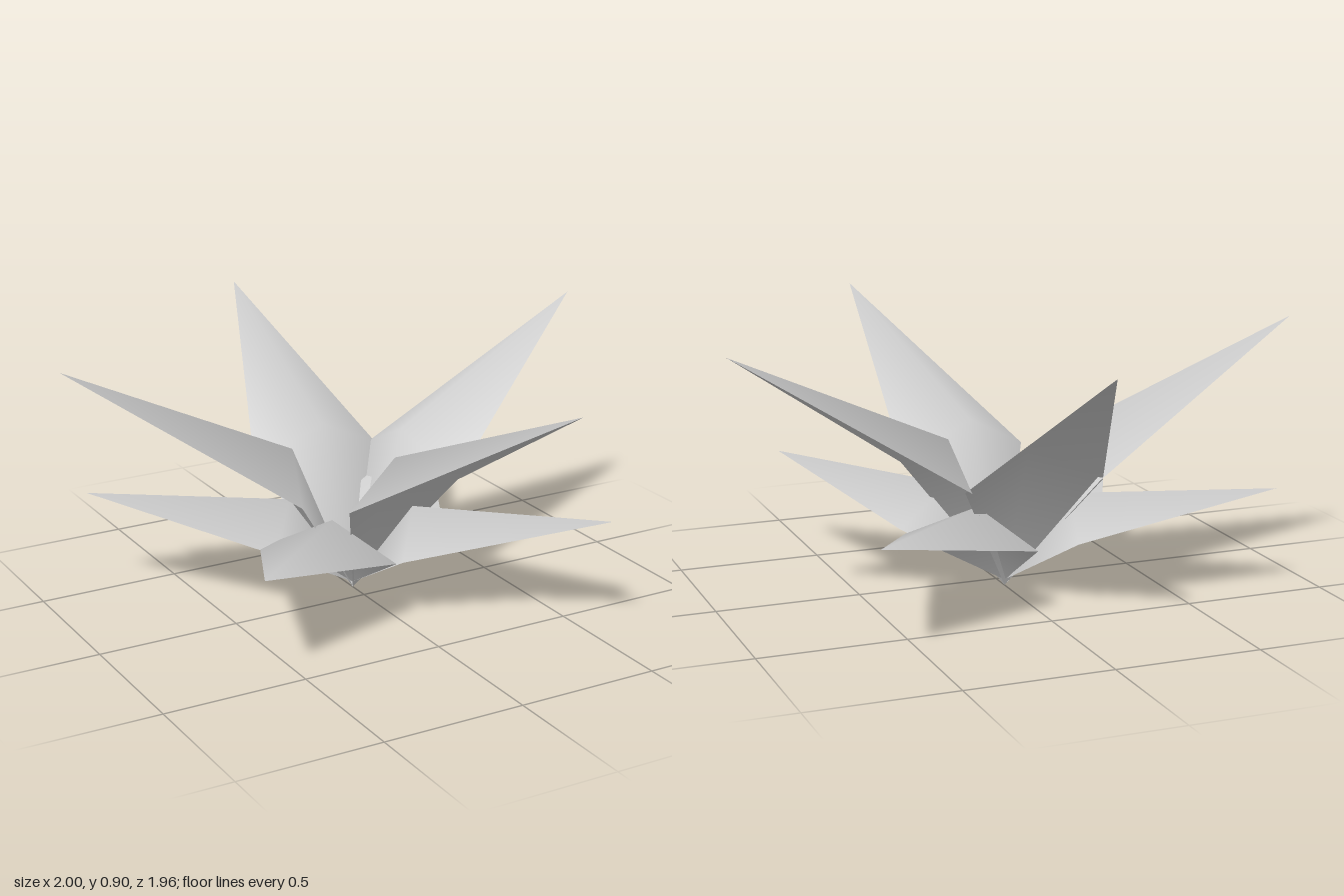
import * as THREE from 'three';

const leafMaterial = new THREE.MeshStandardMaterial({ color: 0xcccccc, side: THREE.DoubleSide });
leafMaterial.name = 'pale grey';

const BASE_Z = -0.08; // all leaves spring from this point on the z axis

// One kite-shaped leaf, folded along a raised midrib that peaks at its widest row.
function makeLeaf(name, tipX, tipZ, { baseY, tipY, sideY, ribY }) {
  const dir = new THREE.Vector2(tipX, tipZ - BASE_Z).normalize();
  const at = (along, across, y) => [
    dir.x * along - dir.y * across, y, BASE_Z + dir.y * along + dir.x * across,
  ];
  const points = [
    [0, baseY, BASE_Z],
    at(0.27, -0.245, sideY),
    at(0.22, 0, ribY),
    at(0.27, 0.245, sideY),
    [tipX, tipY, tipZ],
  ];
  const geometry = new THREE.BufferGeometry();
  geometry.setAttribute('position', new THREE.Float32BufferAttribute(points.flat(), 3));
  geometry.setIndex([0, 2, 1, 0, 3, 2, 1, 2, 4, 2, 3, 4]);
  geometry.computeVertexNormals();
  const leaf = new THREE.Mesh(geometry, leafMaterial);
  leaf.name = name;
  return leaf;
}

export function createModel() {
  const plant = new THREE.Group();
  plant.name = 'leafyPlant';

  // Steep upper ring
  const upper = { baseY: 0, tipY: 0.905, sideY: 0.42, ribY: 0.545 };
  [[0, -0.985], [-1, -0.235], [1, -0.245], [0.21, 0.975]].forEach(([x, z], i) =>
    plant.add(makeLeaf(`upperLeaf${i + 1}`, x, z, upper)));

  // Spreading lower ring
  const lower = { baseY: 0.02, tipY: 0.37, sideY: 0.225, ribY: 0.335 };
  [[-0.82, -0.5], [0.65, -0.7], [-0.64, 0.5], [0.6, 0.625]].forEach(([x, z], i) =>
    plant.add(makeLeaf(`lowerLeaf${i + 1}`, x, z, lower)));

  return plant;
}
